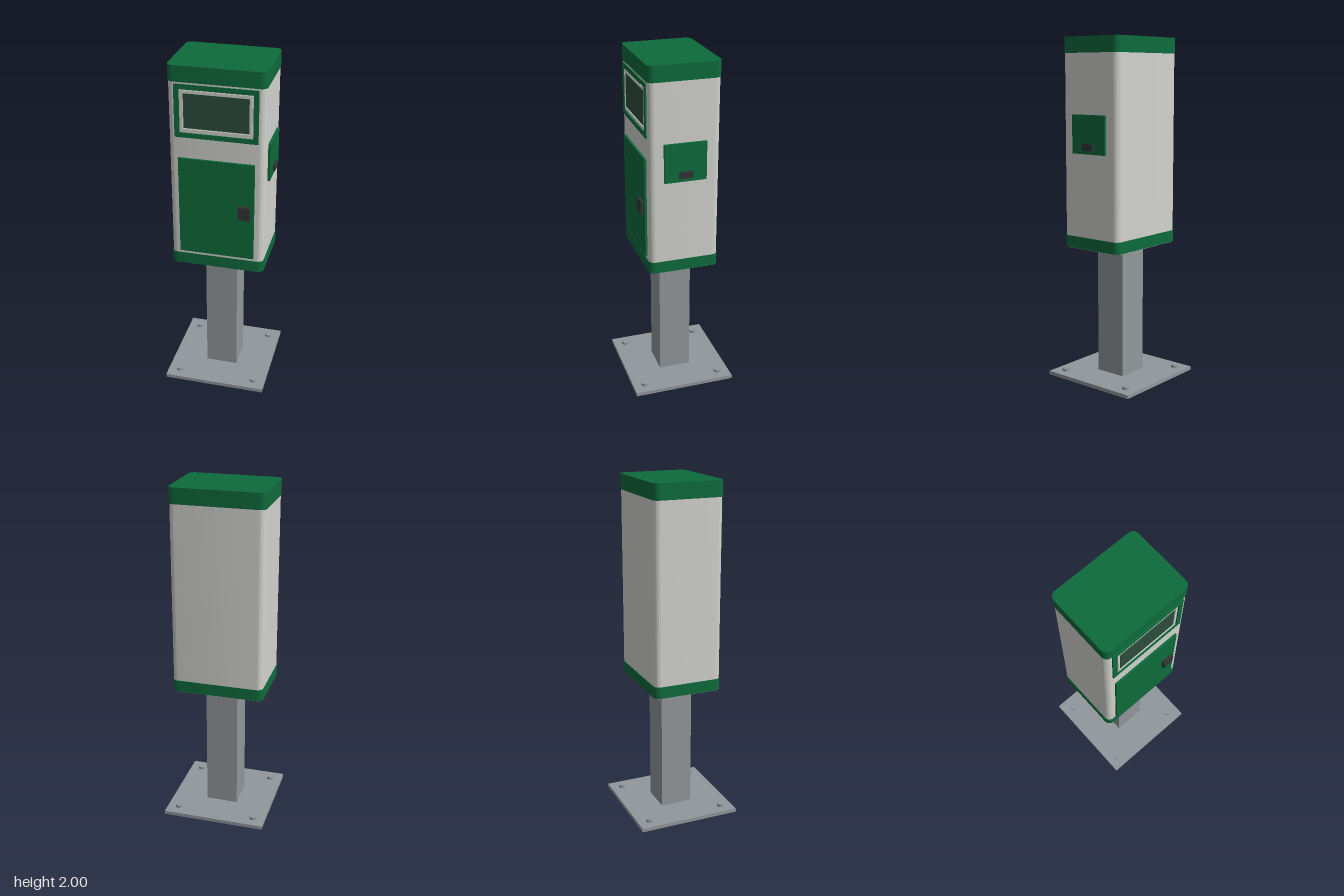
import * as THREE from 'three';
import { toCreasedNormals } from 'three/addons/utils/BufferGeometryUtils.js';

const material = (name, color) => {
  const m = new THREE.MeshStandardMaterial({ color });
  m.name = name;
  return m;
};

export function createModel() {
  const white = material('warm white', 0xd2d3ce);
  const green = material('green', 0x0e6b3c);
  const steel = material('steel grey', 0x92979b);
  const dark = material('dark grey', 0x323436);
  const glass = material('screen green', 0x2e4e3d);
  const model = new THREE.Group();

  const add = (name, geometry, mat) => {
    const mesh = new THREE.Mesh(geometry, mat);
    mesh.name = name;
    model.add(mesh);
    return mesh;
  };
  // Box given by its limits on each axis
  const box = (name, mat, [x0, x1], [y0, y1], [z0, z1]) =>
    add(name, new THREE.BoxGeometry(x1 - x0, y1 - y0, z1 - z0), mat)
      .position.set((x0 + x1) / 2, (y0 + y1) / 2, (z0 + z1) / 2);

  // Upright prism with rounded vertical corners
  const roundedPrism = (name, mat, hx, hz, r, y0, y1) => {
    const s = new THREE.Shape();
    s.absarc(hx - r, hz - r, r, 0, Math.PI / 2);
    s.absarc(-hx + r, hz - r, r, Math.PI / 2, Math.PI);
    s.absarc(-hx + r, -hz + r, r, Math.PI, Math.PI * 1.5);
    s.absarc(hx - r, -hz + r, r, Math.PI * 1.5, Math.PI * 2);
    const g = new THREE.ExtrudeGeometry(s, { depth: y1 - y0, bevelEnabled: false, curveSegments: 8 });
    g.rotateX(-Math.PI / 2);
    add(name, toCreasedNormals(g, 0.6), mat).position.y = y0;
  };

  // Rectangular frame facing +z
  const frame = (name, mat, hx, hy, ix, iy, cy, z0, z1) => {
    const corners = (x, y) => [[-x, -y], [x, -y], [x, y], [-x, y]].map(p => new THREE.Vector2(...p));
    const s = new THREE.Shape(corners(hx, hy));
    s.holes.push(new THREE.Path(corners(ix, iy)));
    add(name, new THREE.ExtrudeGeometry(s, { depth: z1 - z0, bevelEnabled: false }), mat)
      .position.set(0, cy, z0);
  };

  // Base plate, bolts and post
  box('basePlate', steel, [-0.305, 0.305], [0, 0.022], [-0.305, 0.305]);
  for (const x of [-0.234, 0.234]) for (const z of [-0.234, 0.234]) {
    add('anchorBolt', new THREE.CylinderGeometry(0.021, 0.021, 0.016, 24), steel).position.set(x, 0.03, z);
  }
  box('post', steel, [-0.095, 0.095], [0.022, 0.783], [-0.095, 0.095]);
  box('mountingPlate', steel, [-0.156, 0.156], [0.783, 0.802], [-0.156, 0.156]);

  // Cabinet with its green bands
  roundedPrism('cabinet', white, 0.268, 0.202, 0.034, 0.8, 1.95);
  roundedPrism('lowerBand', green, 0.271, 0.205, 0.036, 0.802, 0.87);
  roundedPrism('topCap', green, 0.271, 0.205, 0.036, 1.91, 2);

  // Screen with its surrounds
  frame('screenSurround', green, 0.231, 0.15, 0.203, 0.123, 1.75, 0.2, 0.209);
  frame('screenBezel', white, 0.196, 0.116, 0.184, 0.102, 1.752, 0.2, 0.207);
  box('screen', glass, [-0.18, 0.18], [1.655, 1.849], [0.199, 0.205]);

  // Front door and handle
  box('frontDoor', green, [-0.215, 0.215], [0.89, 1.478], [0.2, 0.214]);
  box('doorHandle', dark, [0.126, 0.193], [1.144, 1.224], [0.212, 0.233]);

  // Side panel and latch
  box('sidePanel', green, [0.265, 0.282], [1.35, 1.57], [-0.121, 0.12]);
  box('sideLatch', dark, [0.28, 0.293], [1.371, 1.409], [-0.037, 0.036]);

  return model;
}
